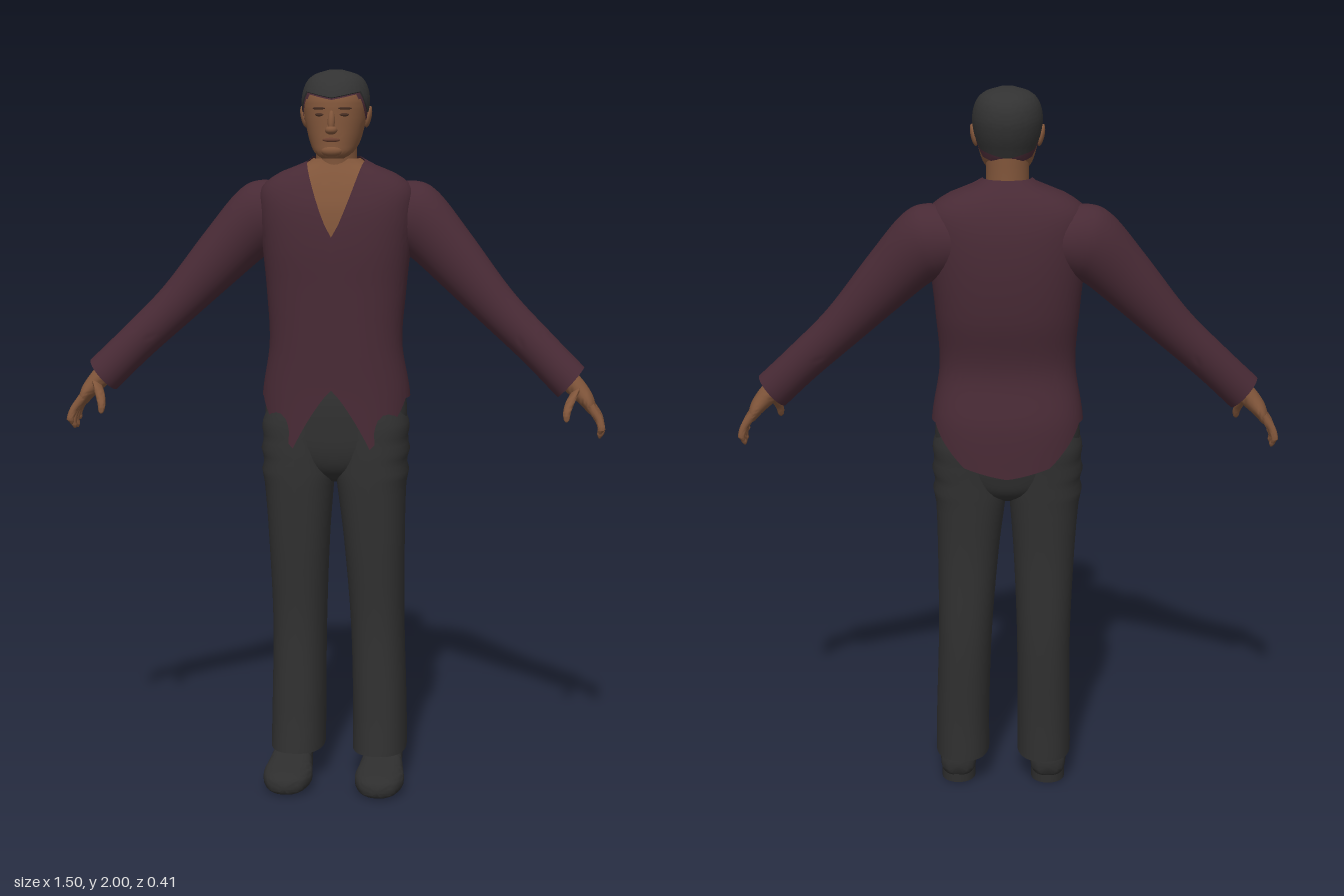
import * as THREE from 'three';
import { toCreasedNormals } from 'three/addons/utils/BufferGeometryUtils.js';

const flat = (name, color, side = THREE.FrontSide) => {
  const m = new THREE.MeshStandardMaterial({ color, side });
  m.name = name;
  return m;
};

// Hermite (or linear) lookup in rows of [t, value, value, ...]
function sample(rows, t, linear = false) {
  const n = rows.length - 1;
  let i = 0;
  while (i < n - 1 && t > rows[i + 1][0]) i++;
  const a = rows[i], b = rows[i + 1], h = b[0] - a[0];
  const k = Math.min(1, Math.max(0, (t - a[0]) / h));
  return a.slice(1).map((p, c) => {
    const q = b[c + 1];
    if (linear) return p + (q - p) * k;
    const slope = (j) => {
      const l = rows[Math.max(0, j - 1)], r = rows[Math.min(n, j + 1)];
      return (r[c + 1] - l[c + 1]) / (r[0] - l[0]);
    };
    const k2 = k * k, k3 = k2 * k;
    return p * (2 * k3 - 3 * k2 + 1) + q * (3 * k2 - 2 * k3)
      + h * (slope(i) * (k3 - 2 * k2 + k) + slope(i + 1) * (k3 - k2));
  });
}

// Closed-ring surface from point(angle, v); caps fan to the ring centres
function surface(nu, nv, point, capped, crease = 1) {
  const pos = [], idx = [];
  for (let j = 0; j <= nv; j++)
    for (let i = 0; i < nu; i++) pos.push(...point((i / nu) * Math.PI * 2, j / nv));
  for (let j = 0; j < nv; j++)
    for (let i = 0; i < nu; i++) {
      const a = j * nu + i, b = j * nu + ((i + 1) % nu);
      idx.push(a, b, b + nu, a, b + nu, a + nu);
    }
  if (capped) for (const j of [0, nv]) {
    const c = [0, 0, 0], id = pos.length / 3;
    for (let i = 0; i < nu; i++) for (let d = 0; d < 3; d++) c[d] += pos[(j * nu + i) * 3 + d] / nu;
    pos.push(...c);
    for (let i = 0; i < nu; i++) {
      const a = j * nu + i, b = j * nu + ((i + 1) % nu);
      idx.push(...(j ? [a, b, id] : [b, a, id]));
    }
  }
  const g = new THREE.BufferGeometry();
  g.setAttribute('position', new THREE.Float32BufferAttribute(pos, 3));
  g.setIndex(idx);
  return toCreasedNormals(g, crease);
}

const power = (v, n) => Math.sign(v) * Math.abs(v) ** (2 / n);

// Upright body section: rows of [y, halfWidth, zFront, zBack]
function bodyPoint(rows, y, a, n, off = 0, cx = 0) {
  const [rx, f, b] = sample(rows, y);
  return [cx + (rx + off) * power(Math.sin(a), n), y, (f + b) / 2 + ((f - b) / 2 + off) * power(Math.cos(a), n)];
}
function shell(rows, n, low, high, { nu = 48, nv = 30, off = 0, capped = false } = {}) {
  return surface(nu, nv, (a, v) => {
    const lo = low(a), hi = high(a);
    return bodyPoint(rows, lo + (hi - lo) * v, a, n, off);
  }, capped);
}

// Rounded limb: rows of [t, centre x y z, half vector x y, half depth z]
function limb(rows, s, nu = 20, nv = 24) {
  const end = rows[rows.length - 1][0];
  return surface(nu, nv, (a, v) => {
    const [x, y, z, hx, hy, hz] = sample(rows, v * end);
    const k = -s * Math.sin(a);
    return [s * x + k * hx * s, y + k * hy, z + hz * Math.cos(a)];
  }, true);
}

const fromFront = (a) => THREE.MathUtils.radToDeg(a > Math.PI ? 2 * Math.PI - a : a);

const TORSO = [[0.95, 0.207, 0.088, -0.198], [1.1, 0.208, 0.08, -0.193], [1.25, 0.186, 0.08, -0.167],
  [1.4, 0.195, 0.08, -0.195], [1.52, 0.207, 0.08, -0.205], [1.62, 0.216, 0.068, -0.2], [1.68, 0.21, 0.046, -0.185],
  [1.72, 0.16, 0.025, -0.165], [1.75, 0.085, 0.006, -0.14], [1.765, 0.065, 0, -0.126]];
const HEM = [[0, 1.13], [27, 0.965], [72, 1.1], [112, 1.1], [150, 0.99], [180, 0.962]];
const HEAD = [[1.762, 0.03, 0.06, 0], [1.775, 0.05, 0.07, -0.04], [1.8, 0.066, 0.07, -0.1], [1.84, 0.078, 0.068, -0.125],
  [1.88, 0.086, 0.066, -0.14], [1.92, 0.088, 0.061, -0.144], [1.96, 0.076, 0.036, -0.13],
  [1.982, 0.052, 0.005, -0.1], [1.994, 0.012, -0.03, -0.05]];
const HAIRLINE = [[0, 1.918], [35, 1.93], [55, 1.935], [68, 1.9], [80, 1.88], [100, 1.88], [120, 1.835], [180, 1.815]];

export function createModel() {
  const model = new THREE.Group();
  const shirt = flat('maroon shirt', 0x482a35, THREE.DoubleSide);
  const cloth = flat('charcoal trousers', 0x303030);
  const leather = flat('dark shoes', 0x2e2e2e);
  const skin = flat('brown skin', 0x80553a);
  const hair = flat('black hair', 0x323232, THREE.DoubleSide);
  const dark = flat('dark brown features', 0x4a3024);
  const lip = flat('lips', 0x6a4030);
  const add = (name, geo, mat) => {
    const m = new THREE.Mesh(geo, mat);
    m.name = name;
    model.add(m);
    return m;
  };
  const blob = (name, mat, [x, y, z], [sx, sy, sz]) => {
    const m = add(name, new THREE.SphereGeometry(1, 16, 12), mat);
    m.position.set(x, y, z);
    m.scale.set(sx, sy, sz);
    return m;
  };

  // Shirt with pointed hem and open V neck; skin of the chest lies just under it
  const hem = (a) => sample(HEM, fromFront(a), true)[0];
  const neckline = (a) => {
    if (Math.cos(a) <= 0) return 1.765;
    let lo = 1.55, hi = 1.765;
    for (let i = 0; i < 20; i++) {
      const y = (lo + hi) / 2;
      const opening = 0.078 * ((y - 1.55) / 0.2) ** 0.8;
      if (Math.abs(bodyPoint(TORSO, y, a, 2.4)[0]) < opening) hi = y; else lo = y;
    }
    return lo;
  };
  add('shirt', shell(TORSO, 2.4, hem, neckline, { nu: 120, nv: 44 }), shirt);
  add('chest', shell(TORSO, 2.4, () => 1.5, () => 1.76, { off: -0.006, nu: 64 }), skin);

  // Neck and head
  const NECK = [[1.68, 0.06, 0.01, -0.125], [1.76, 0.057, 0.004, -0.12], [1.84, 0.058, 0.02, -0.12]];
  add('neck', shell(NECK, 2, () => 1.68, () => 1.84, { nv: 8, nu: 32 }), skin);
  add('head', shell(HEAD, 2.1, () => 1.762, () => 1.994, { capped: true }), skin);
  const hairline = (a) => sample(HAIRLINE, fromFront(a), true)[0];
  add('hair', shell(HEAD, 2.1, hairline, () => 1.994, { off: 0.005, nu: 72, capped: true }), hair).position.y = 0.006;
  // Maroon trim peeking out under the hair at temples and nape
  const trim = (a) => hairline(a) - (fromFront(a) > 45 ? 0.014 : 0);
  add('hairTrim', shell(HEAD, 2.1, trim, (a) => hairline(a) + 0.02, { off: 0.002, nu: 72, nv: 4 }), shirt);

  // Face
  blob('noseBridge', skin, [0, 1.863, 0.068], [0.01, 0.03, 0.012]).rotation.x = -0.3;
  blob('noseTip', skin, [0, 1.838, 0.073], [0.017, 0.012, 0.017]);
  blob('chin', skin, [0, 1.782, 0.058], [0.03, 0.016, 0.018]);
  blob('mouth', lip, [0, 1.812, 0.068], [0.024, 0.006, 0.006]);
  for (const s of [1, -1]) {
    blob('eye', dark, [s * 0.033, 1.879, 0.057], [0.014, 0.005, 0.005]).rotation.y = s * 0.35;
    blob('eyebrow', dark, [s * 0.035, 1.896, 0.056], [0.02, 0.004, 0.005]).rotation.y = s * 0.35;
    blob('ear', skin, [s * 0.089, 1.873, -0.045], [0.009, 0.03, 0.018]).rotation.z = -s * 0.2;
  }

  // Trouser seat
  const SEAT = [[0.86, 0.03, 0.0, -0.08], [0.89, 0.1, 0.045, -0.13], [0.94, 0.18, 0.066, -0.15],
    [1.02, 0.199, 0.07, -0.162], [1.1, 0.196, 0.066, -0.172], [1.17, 0.175, 0.05, -0.15]];
  add('trouserSeat', shell(SEAT, 2.4, () => 0.86, () => 1.17, { capped: true }), cloth);

  for (const s of [1, -1]) {
    const shift = 0.0125;

    // Trouser leg: [y, halfWidth, zFront, zBack, centre x], with folds by the pocket
    const LEG = [[0.085, 0.077, 0.093, -0.138, 0.118 + s * shift], [0.2, 0.076, 0.08, -0.138, 0.117 + s * shift],
      [0.45, 0.076, 0.062, -0.146, 0.112 + s * 0.009], [0.7, 0.086, 0.07, -0.14, 0.107 + s * 0.004],
      [0.86, 0.098, 0.074, -0.145, 0.103], [0.89, 0.103, 0.074, -0.147, 0.105], [0.92, 0.097, 0.073, -0.148, 0.104],
      [0.95, 0.104, 0.072, -0.15, 0.106], [0.98, 0.098, 0.07, -0.152, 0.105], [1.02, 0.102, 0.068, -0.155, 0.106],
      [1.07, 0.09, 0.06, -0.15, 0.1]];
    add('trouserLeg', surface(32, 50, (a, v) => {
      const y = 0.085 + 0.985 * v;
      return bodyPoint(LEG, y, a, 2.4, 0, s * sample(LEG, y)[3]);
    }, true), cloth);

    // Shoe upper: [z, halfWidth, base, height], and heel block
    const SHOE = [[-0.108, 0.028, 0.03, 0.08], [-0.095, 0.045, 0.02, 0.095], [-0.04, 0.053, 0.018, 0.105],
      [0.02, 0.055, 0.012, 0.098], [0.07, 0.063, 0, 0.08], [0.13, 0.069, 0, 0.065], [0.18, 0.055, 0, 0.055],
      [0.2, 0.034, 0.003, 0.043], [0.206, 0.015, 0.01, 0.032]];
    const footX = s * 0.13 + shift;
    add('shoe', surface(28, 36, (a, v) => {
      const z = -0.108 + 0.314 * v;
      const [w, lo, hi] = sample(SHOE, z);
      return [footX - w * power(Math.sin(a), 2.8), (lo + hi) / 2 + (hi - lo) / 2 * power(Math.cos(a), 2.8), z];
    }, true), leather);
    const heel = add('heel', new THREE.CylinderGeometry(0.05, 0.05, 0.035, 24), leather);
    heel.scale.x = 0.96;
    heel.position.set(footX, 0.0175, -0.053);

    // Sleeve
    add('sleeve', limb([[0, 0.13, 1.6, -0.095, 0, 0.085, 0.08], [1, 0.195, 1.598, -0.092, 0.02, 0.1, 0.088],
      [2, 0.245, 1.575, -0.085, 0.035, 0.093, 0.086], [3, 0.33, 1.485, -0.066, 0.042, 0.07, 0.072],
      [4, 0.445, 1.358, -0.042, 0.044, 0.043, 0.06], [5, 0.56, 1.248, -0.018, 0.037, 0.041, 0.055],
      [6, 0.655, 1.155, 0.005, 0.036, 0.042, 0.055]], s, 28, 42), shirt);

    // Hand: palm, four fingers and thumb
    add('palm', limb([[0, 0.645, 1.165, 0.005, 0.02, 0.022, 0.032], [1, 0.675, 1.135, 0.007, 0.019, 0.019, 0.036],
      [2, 0.7, 1.105, 0.008, 0.017, 0.012, 0.046], [3, 0.716, 1.075, 0.008, 0.011, 0.005, 0.044]], s, 20, 14), skin);
    [[0.042, 0.06, 1.02], [0.019, 0.025, 1.003], [-0.004, -0.006, 1.0], [-0.026, -0.036, 1.018]].forEach(([z0, z1, tip]) =>
      add('finger', limb([[0, 0.708, 1.095, z0, 0.011, 0.006, 0.012], [1, 0.732, 1.06, (z0 + z1) / 2, 0.011, 0.004, 0.011],
        [2, 0.741, (1.05 + tip) / 2, z1, 0.01, 0, 0.01], [3, 0.738, tip + 0.008, z1, 0.008, 0, 0.008],
        [3.3, 0.737, tip, z1, 0.003, 0, 0.003]], s, 10, 14), skin));
    add('thumb', limb([[0, 0.672, 1.14, 0.025, 0.014, 0.008, 0.018], [1, 0.655, 1.108, 0.058, 0.014, 0.003, 0.014],
      [2, 0.646, 1.082, 0.078, 0.011, 0, 0.011], [3, 0.645, 1.062, 0.086, 0.008, 0, 0.008],
      [3.3, 0.645, 1.056, 0.088, 0.003, 0, 0.003]], s, 10, 14), skin);
  }
  return model;
}
